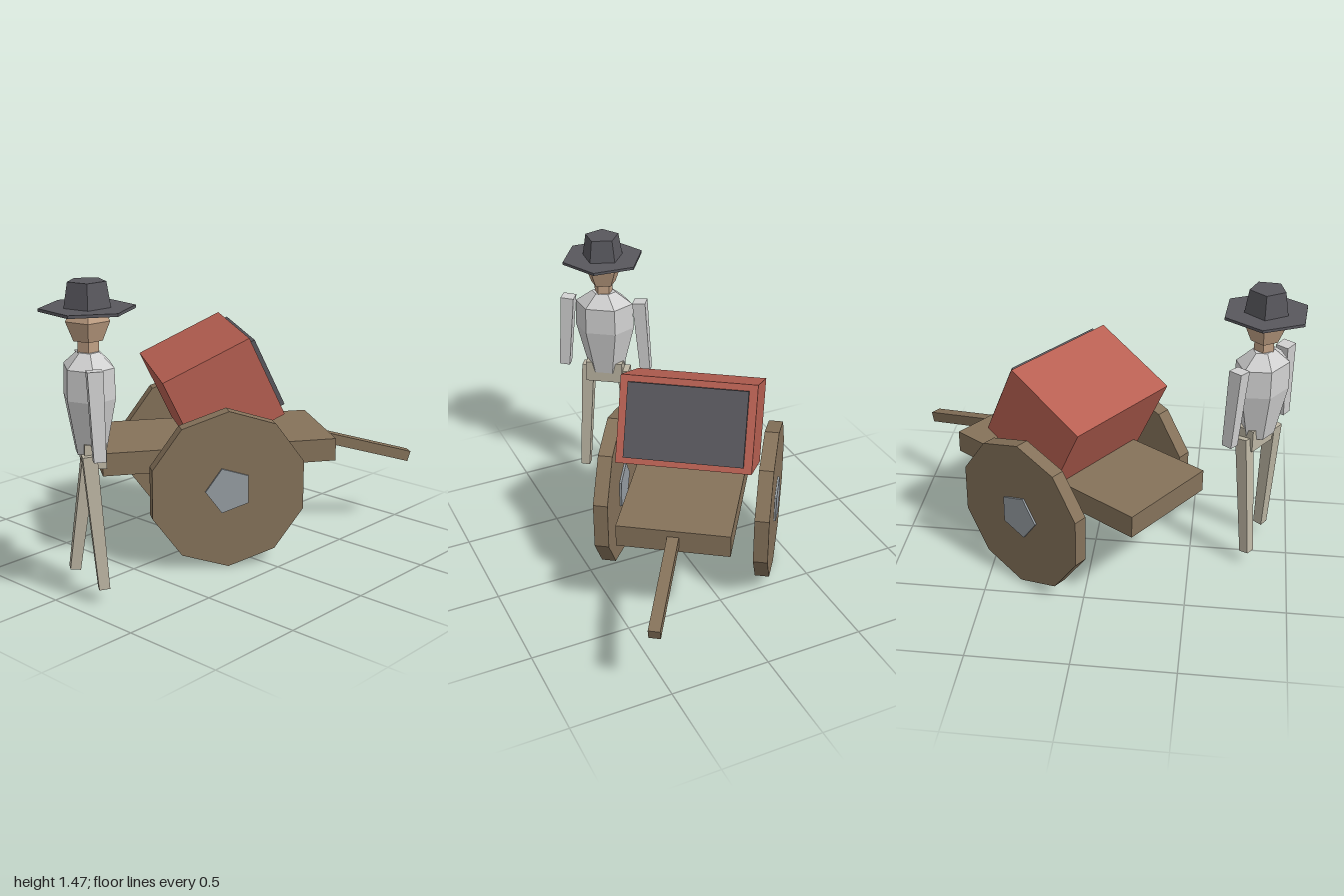
import * as THREE from 'three';

const flat = (name, color) => {
  const m = new THREE.MeshStandardMaterial({ color, flatShading: true });
  m.name = name;
  return m;
};

export function createModel() {
  const wood = flat('wood', 0x85725a);
  const red = flat('red paint', 0xb86052);
  const dark = flat('dark grey', 0x58575d);
  const metal = flat('hub metal', 0x969da3);
  const shirt = flat('shirt', 0xd0d0d0);
  const trousers = flat('trousers', 0xbdb6a4);
  const skin = flat('skin', 0xc0a084);

  const model = new THREE.Group();
  model.name = 'cartAndFigure';
  const add = (parent, name, geometry, material, x = 0, y = 0, z = 0) => {
    const mesh = new THREE.Mesh(geometry, material);
    mesh.name = name;
    mesh.position.set(x, y, z);
    parent.add(mesh);
    return mesh;
  };
  const turn = -0.604; // cart and figure both point along this heading

  // Cart: long axis is local x
  const cart = new THREE.Group();
  cart.name = 'cart';
  cart.position.set(0.0875, 0, -0.04);
  cart.rotation.y = turn;
  model.add(cart);
  add(cart, 'platform', new THREE.BoxGeometry(1.18, 0.115, 0.546), wood, 0, 0.5125, 0);

  // Ten-sided wheels with five-sided hubs
  const wheelGeo = new THREE.CylinderGeometry(0.395, 0.395, 0.072, 10).rotateX(Math.PI / 2);
  const hubGeo = new THREE.CylinderGeometry(0.118, 0.118, 0.092, 5, 1, false, -Math.PI / 2)
    .rotateX(Math.PI / 2);
  for (const s of [-1, 1]) {
    add(cart, 'wheel', wheelGeo, wood, 0, 0.395, s * 0.395);
    add(cart, 'hub', hubGeo, metal, 0, 0.395, s * 0.395);
  }

  // Tilted chest with a raised panel
  const chest = new THREE.Group();
  chest.name = 'chest';
  chest.position.set(0, 0.825, 0);
  chest.rotation.z = 0.441;
  cart.add(chest);
  add(chest, 'chestBody', new THREE.BoxGeometry(0.469, 0.428, 0.66), red);
  add(chest, 'chestPanel', new THREE.BoxGeometry(0.05, 0.365, 0.58), dark, 0.235, 0, 0);

  // Pull handle sloping down from the platform
  const handle = add(cart, 'handle', new THREE.BoxGeometry(0.536, 0.055, 0.056), wood, 0.826, 0.44, 0);
  handle.rotation.z = -0.28;

  // Figure: faces local x, shoulders along local z
  const figure = new THREE.Group();
  figure.name = 'figure';
  figure.position.set(-0.81, 0, 0.055);
  figure.rotation.y = turn;
  model.add(figure);

  // Lathe from [radius, y] pairs
  const lathe = (pairs, sides, start) =>
    new THREE.LatheGeometry(pairs.map(([r, y]) => new THREE.Vector2(r, y)), sides, start);
  const pent = Math.PI * 7 / 6;

  add(figure, 'torso', lathe([[0, 0.69], [0.095, 0.69], [0.16, 0.95], [0.155, 1.09],
    [0.065, 1.155], [0, 1.155]], 6, 0).scale(0.78, 1, 1), shirt);
  add(figure, 'hips', new THREE.BoxGeometry(0.1, 0.115, 0.2), trousers, 0.01, 0.69, 0);
  add(figure, 'neck', new THREE.CylinderGeometry(0.05, 0.05, 0.08, 5, 1, false, pent), skin, 0, 1.18, 0);
  add(figure, 'head', lathe([[0, 1.2], [0.068, 1.205], [0.104, 1.295], [0.078, 1.35], [0, 1.35]], 5, pent), skin);
  add(figure, 'hatBrim', new THREE.CylinderGeometry(0.217, 0.217, 0.014, 6, 1, false, Math.PI / 6),
    dark, 0, 1.348, 0);
  add(figure, 'hatCrown', new THREE.CylinderGeometry(0.09, 0.11, 0.118, 5, 1, false, pent), dark, 0, 1.412, 0);

  // Tapered square limb between two points
  const limb = (name, material, from, to, wTop, wBottom) => {
    const a = new THREE.Vector3(...from), b = new THREE.Vector3(...to);
    const geo = new THREE.CylinderGeometry(wTop * Math.SQRT1_2, wBottom * Math.SQRT1_2,
      a.distanceTo(b), 4, 1, false, Math.PI / 4);
    const mesh = add(figure, name, geo, material);
    mesh.position.copy(a).add(b).multiplyScalar(0.5);
    mesh.quaternion.setFromUnitVectors(new THREE.Vector3(0, 1, 0), a.sub(b).normalize());
  };
  for (const s of [-1, 1]) {
    limb('arm', shirt, [0, 1.11, s * 0.195], [0.01, 0.71, s * 0.225], 0.07, 0.055);
  }
  // Legs in a slight stride
  limb('frontLeg', trousers, [-0.02, 0.7, 0.1], [0.03, 0.07, 0.13], 0.066, 0.05);
  limb('backLeg', trousers, [0.01, 0.7, -0.1], [-0.072, 0.07, -0.136], 0.066, 0.05);

  return model;
}
